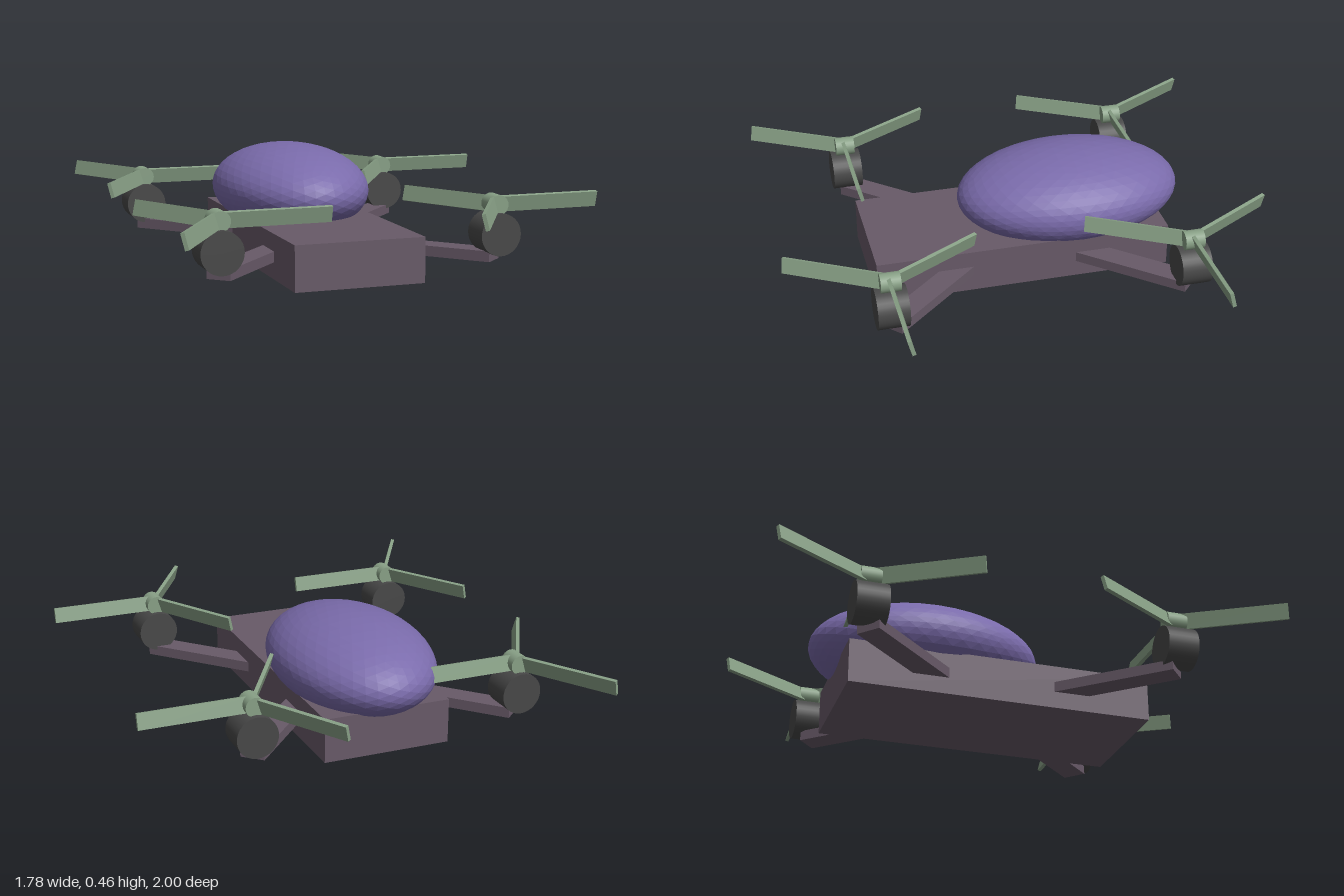
import * as THREE from 'three';

const paint = (color, flatShading = false) => new THREE.MeshStandardMaterial({ color, flatShading });

function part(name, geometry, material, x = 0, y = 0, z = 0) {
  const mesh = new THREE.Mesh(geometry, material);
  mesh.name = name;
  mesh.position.set(x, y, z);
  return mesh;
}

export function createModel() {
  const model = new THREE.Group();
  model.name = 'quadcopter';

  const hullPaint = paint(0x685a68);
  const canopyPaint = paint(0x7a6bab, true);
  const motorPaint = paint(0x484848);
  const rotorPaint = paint(0x88a086);

  const centreX = -0.105;   // body sits off centre; the blades reach further to +x
  const reachX = 0.555, reachZ = 0.61;

  // Box body and faceted egg-shaped canopy
  model.add(part('body', new THREE.BoxGeometry(0.526, 0.18, 1.23), hullPaint, centreX, 0.09, 0));
  const canopyShape = new THREE.IcosahedronGeometry(1, 7).scale(0.314, 0.185, 0.472);
  model.add(part('canopy', canopyShape, canopyPaint, centreX, 0.27, -0.25));

  // Shared shapes; arms and blades start at their inner end and run along +x
  const armLength = Math.hypot(reachX, reachZ);
  const armShape = new THREE.BoxGeometry(armLength, 0.042, 0.098).translate(armLength / 2, 0, 0);
  const motorShape = new THREE.CylinderGeometry(0.083, 0.083, 0.125, 32).rotateX(Math.PI / 2);
  const hubShape = new THREE.CylinderGeometry(0.039, 0.039, 0.08, 24).rotateX(Math.PI / 2);
  const bladeShape = new THREE.BoxGeometry(0.44, 0.063, 0.015).translate(0.22, 0, 0).rotateX(0.26);

  for (const sx of [-1, 1]) {
    for (const sz of [-1, 1]) {
      const corner = (sz > 0 ? 'front' : 'back') + (sx > 0 ? 'Left' : 'Right');
      const x = centreX + sx * reachX, z = sz * reachZ;

      const arm = part(corner + 'Arm', armShape, hullPaint, centreX, 0.09, 0);
      arm.rotation.y = Math.atan2(-sz * reachZ, sx * reachX);
      model.add(arm);
      model.add(part(corner + 'Motor', motorShape, motorPaint, x, 0.178, z));

      // Rotor: hub with three pitched blades
      const rotor = new THREE.Group();
      rotor.name = corner + 'Rotor';
      rotor.position.set(x, 0.291, z);
      rotor.add(part('hub', hubShape, rotorPaint));
      for (let i = 0; i < 3; i++) {
        const blade = part('blade', bladeShape, rotorPaint);
        blade.rotation.y = (i * Math.PI * 2) / 3;
        rotor.add(blade);
      }
      model.add(rotor);
    }
  }
  return model;
}
